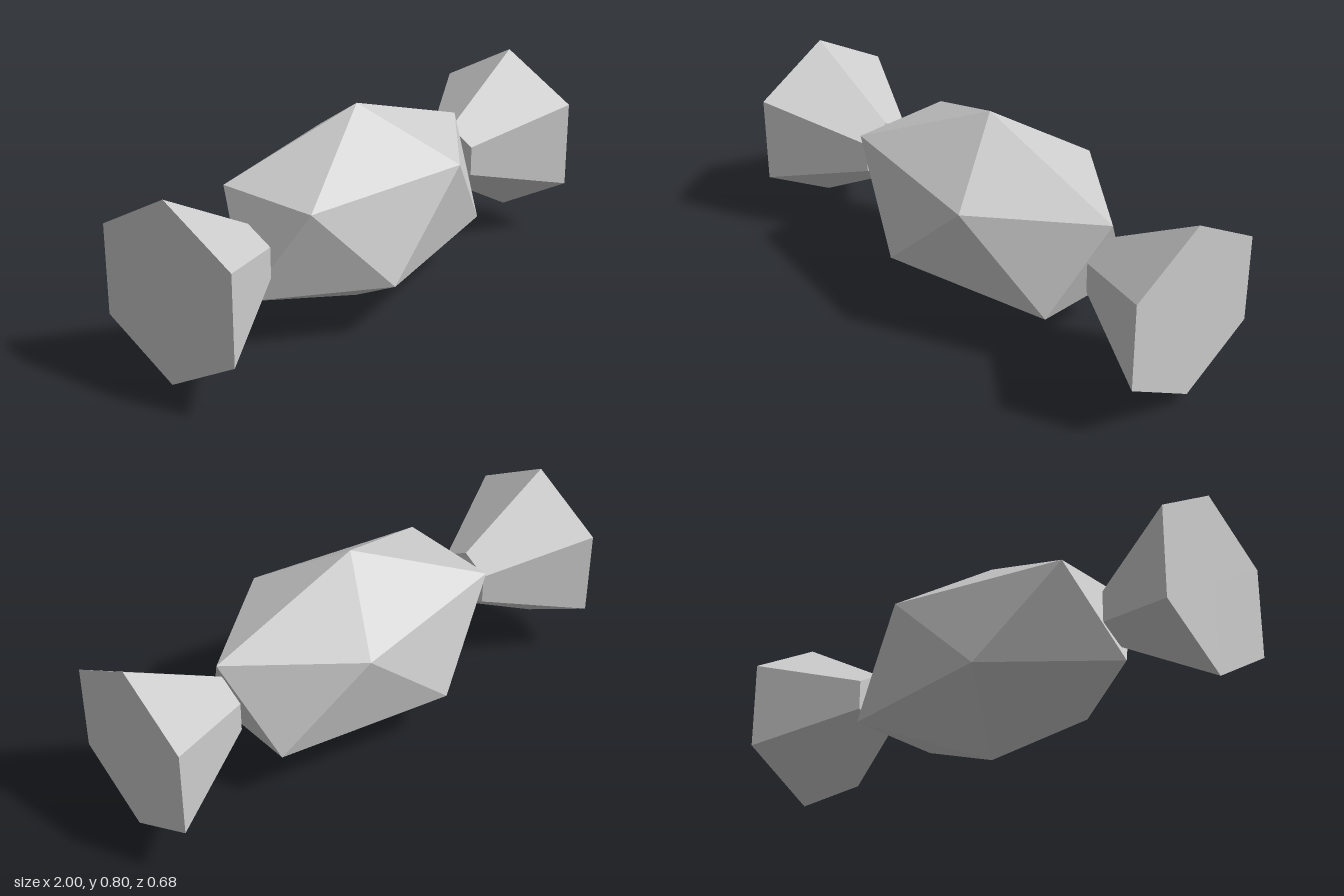
import * as THREE from 'three';
import { ConvexGeometry } from 'three/addons/geometries/ConvexGeometry.js';

const CENTER_Y = 0.4;

// Icosahedron standing on one tip, stretched along x
function bodyGeometry() {
  const points = [new THREE.Vector3(0, 1, 0), new THREE.Vector3(0, -1, 0)];
  const h = 1 / Math.sqrt(5), r = 2 * h;
  for (let k = 0; k < 5; k++) {
    const a = (k * Math.PI * 2) / 5;
    points.push(new THREE.Vector3(r * Math.cos(a), h, r * Math.sin(a)));
    points.push(new THREE.Vector3(-r * Math.cos(a), -h, r * Math.sin(a)));
  }
  points.forEach((p) => p.multiply(new THREE.Vector3(0.695, 0.4, 0.4)));
  return new ConvexGeometry(points);
}

export function createModel() {
  const group = new THREE.Group();
  const wrapper = new THREE.MeshStandardMaterial({ color: 0xcccccc, flatShading: true });
  wrapper.name = 'wrapperGrey';

  const body = new THREE.Mesh(bodyGeometry(), wrapper);
  body.name = 'candyBody';
  body.position.y = CENTER_Y;
  group.add(body);

  // Flared six-sided twists, wide end outward, one corner up
  for (const side of [1, -1]) {
    const geo = new THREE.CylinderGeometry(0.35, 0.12, 0.4, 6, 1, false, Math.PI / 2);
    geo.rotateZ((-side * Math.PI) / 2);
    const twist = new THREE.Mesh(geo, wrapper);
    twist.name = side > 0 ? 'leftTwist' : 'rightTwist';
    twist.position.set(side * 0.8, CENTER_Y, 0);
    group.add(twist);
  }
  return group;
}
